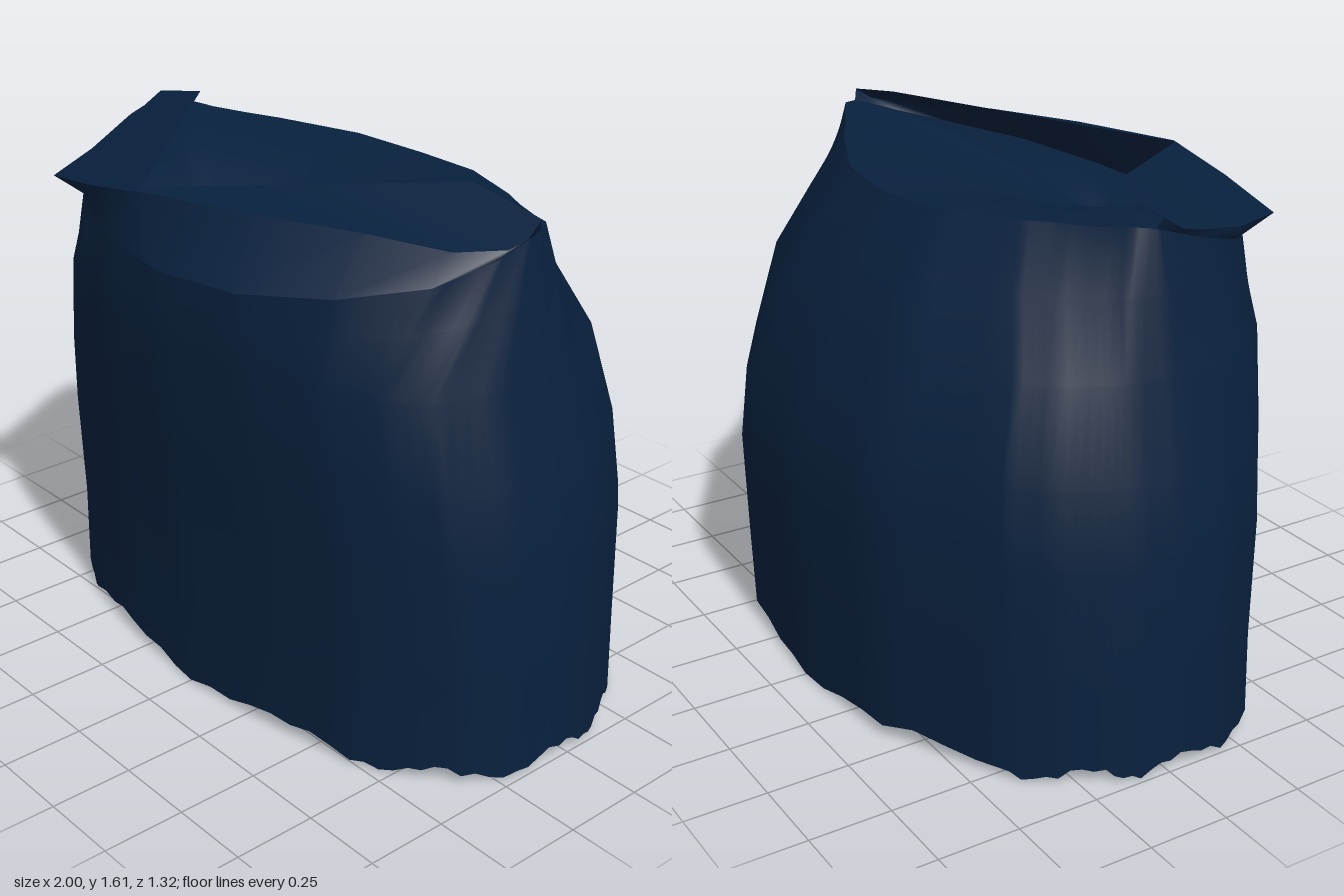
import * as THREE from 'three';

const V = (x, y, z) => new THREE.Vector3(x, y, z);

// Skin a stack of rings (bottom to top) into one smooth surface
function loft(rings, closed, material, name) {
  const n = rings[0].length, pos = [], idx = [];
  rings.forEach(r => r.forEach(p => pos.push(p.x, p.y, p.z)));
  for (let r = 0; r < rings.length - 1; r++) {
    for (let c = 0; c < (closed ? n : n - 1); c++) {
      const a = r * n + c, b = r * n + (c + 1) % n;
      idx.push(a, a + n, b, b, a + n, b + n);
    }
  }
  const g = new THREE.BufferGeometry();
  g.setAttribute('position', new THREE.Float32BufferAttribute(pos, 3));
  g.setIndex(idx);
  g.computeVertexNormals();
  const m = new THREE.Mesh(g, material);
  m.name = name;
  return m;
}

// Half outline (back centre, round the +x side, to front centre) mirrored to a loop
const mirror = half => [...half, ...half.slice(1, -1).reverse().map(p => V(-p.x, p.y, p.z))];

// Split every span of a closed loop into k pieces
function subdivide(loop, k) {
  return loop.flatMap((p, i) => Array.from({ length: k },
    (_, j) => p.clone().lerp(loop[(i + 1) % loop.length], j / k)));
}

export function createModel() {
  const group = new THREE.Group();
  const navy = new THREE.MeshStandardMaterial({ color: 0x08203d, side: THREE.DoubleSide });
  navy.name = 'navy cloth';

  // Unit cross-section of the skirt
  const outline = [[0, -1], [.42, -.94], [.79, -.63], [.885, -.47], [.95, -.29], [.985, -.14],
    [1, .06], [.985, .32], [.91, .57], [.79, .72], [.63, .85], [.35, .95], [0, 1]];
  // Waist seam: high at back and sides, dipping at the front
  const waist = [[0, 1.49, -.33], [.25, 1.5, -.3], [.5, 1.515, -.19], [.6, 1.523, -.13],
    [.7, 1.53, -.08], [.79, 1.545, -.03], [.82, 1.54, .02], [.81, 1.49, .17], [.75, 1.44, .34],
    [.57, 1.4, .51], [.3, 1.365, .62], [0, 1.35, .65]];
  // one extra seam point keeps the side in step with the outline
  waist.splice(7, 0, [.822, 1.525, .07]);
  const seamHalf = waist.map(p => V(...p));

  const ring = (y, w, front, back) => mirror(
    outline.map(([x, z]) => V(x * w, y, z * (z > 0 ? front : back))));

  // Skirt body: rows of height, half width, front depth, back depth
  const rows = [[.03, 1, .595, .635], [.3, .99, .597, .647], [.65, .98, .622, .66],
    [.88, .945, .645, .637], [1.15, .885, .664, .54]].map(r => subdivide(ring(...r), 4));
  // Wavy hem
  rows[0].forEach((p, i) => {
    p.y = .033 - .02 * Math.cos(i * Math.PI / 4.8) + .008 * Math.sin(i * 2.3);
  });
  const top = subdivide(mirror(seamHalf), 4);
  const last = rows[rows.length - 1];
  rows.push(last.map((p, i) => {
    const q = p.clone().lerp(top[i], .55);
    q.z += q.z < 0 ? -.012 : .003;
    return q;
  }), top);
  group.add(loft(rows, true, navy, 'skirtBody'));

  // Folded waistband: seam, crumpled fold line, then inward to a V-shaped edge
  const apex = V(-.15, 1.54, .59);
  const front = seamHalf.slice(6);
  const seam = [...front, ...front.slice(0, -1).reverse().map(p => V(-p.x, p.y, p.z))];
  const fold = [[.83, 1.575, .03], [.84, 1.535, .09], [.83, 1.52, .15], [.73, 1.51, .25],
    [.52, 1.53, .36], [.22, 1.535, .49], [-.12, 1.535, .605], [-.38, 1.49, .6],
    [-.64, 1.45, .565], [-.74, 1.47, .36], [-.83, 1.52, .15], [-.84, 1.535, .09],
    [-.83, 1.575, .03]].map(p => V(...p));
  const vEdge = fold.map((_, i) =>
    V(i < 6 ? .58 : -.62, 1.615, .03).lerp(apex, 1 - Math.abs(i - 6) / 6));
  group.add(loft([seam, fold], false, navy, 'waistband'));
  group.add(loft([fold, vEdge], false, navy, 'waistbandFold'));

  // Inner lining: sinks gently from the seam towards the front, under the fold
  const low = V(-.05, 1.25, .42);
  const lining = [0, .2, .4, .6, .8, 1].map(t => top.map(p =>
    V(p.x + (low.x - p.x) * t, p.y + (low.y - p.y) * t * t, p.z + (low.z - p.z) * t)));
  group.add(loft(lining, true, navy, 'innerLining'));

  // Underside: slopes up from the hem to a level panel with two leg openings
  const floorY = .1, legX = .465, legZ = .025, legA = .42, legB = .45;
  const panel = ring(floorY, .94, .56, .6);
  group.add(loft([subdivide(panel, 4), rows[0]], true, navy, 'hemFacing'));
  const shape = new THREE.Shape(panel.map(p => new THREE.Vector2(p.x, p.z)));
  for (const s of [1, -1]) {
    const hole = new THREE.Path();
    hole.absellipse(s * legX, legZ, legA, legB, 0, Math.PI * 2);
    shape.holes.push(hole);

    // Leg tube, closed inside the skirt
    const leg = new THREE.Mesh(new THREE.CylinderGeometry(.88, 1, .9, 16, 1, true), navy);
    leg.scale.set(legA, 1, legB);
    leg.position.set(s * legX, floorY + .45, legZ);
    leg.name = s > 0 ? 'leftLegLining' : 'rightLegLining';
    const end = new THREE.Mesh(new THREE.CircleGeometry(.88, 16), navy);
    end.rotation.x = Math.PI / 2;
    end.position.y = .45;
    end.name = 'legLiningEnd';
    leg.add(end);
    group.add(leg);
  }
  const floor = new THREE.Mesh(new THREE.ShapeGeometry(shape, 16), navy);
  floor.rotation.x = Math.PI / 2;
  floor.position.y = floorY;
  floor.name = 'underside';
  group.add(floor);

  return group;
}
